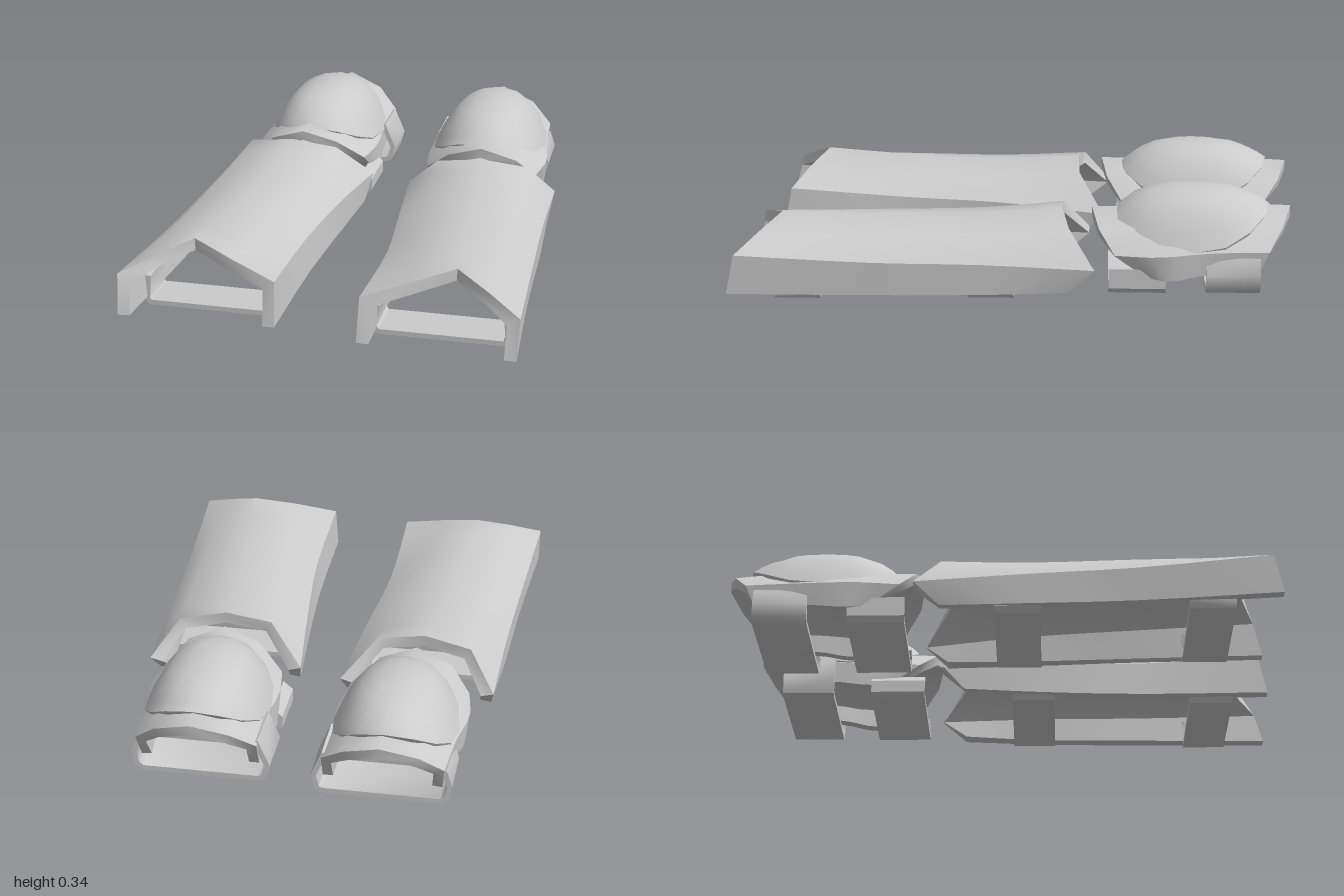
import * as THREE from 'three';
import { toCreasedNormals } from 'three/addons/utils/BufferGeometryUtils.js';

const material = new THREE.MeshStandardMaterial({ color: 0xcccccc });

// Builds a geometry from points and triangle indices, mirrored in x for side = -1.
function solid(points, index, side, crease) {
  const faces = index.slice();
  if (side < 0) for (let i = 0; i < faces.length; i += 3) [faces[i], faces[i + 1]] = [faces[i + 1], faces[i]];
  const g = new THREE.BufferGeometry();
  g.setAttribute('position', new THREE.Float32BufferAttribute(points.flatMap(p => [p.x * side, p.y, p.z]), 3));
  g.setIndex(faces);
  return toCreasedNormals(g, crease);
}

// Offsets an open cross-section to its left in the xy plane, mitred at corners.
function offset(row, t) {
  const normal = (a, b) => new THREE.Vector2(a.y - b.y, b.x - a.x).normalize();
  return row.map((p, j) => {
    const n1 = normal(row[Math.max(j - 1, 0)], row[Math.max(j, 1)]);
    const n2 = normal(row[Math.min(j, row.length - 2)], row[Math.min(j + 1, row.length - 1)]);
    const n = n1.clone().add(n2).normalize();
    const d = t / Math.max(n.dot(n1), 0.6);
    return new THREE.Vector3(p.x + n.x * d, p.y + n.y * d, p.z);
  });
}

// Lofts a plate of thickness t through cross-sections ordered front to back.
function plate(sections, t, segments, side) {
  const m = sections[0].length;
  const curves = sections[0].map((_, j) =>
    new THREE.CatmullRomCurve3(sections.map(s => new THREE.Vector3(...s[j]))));
  const points = [], index = [];
  const quad = (a, b, c, d) => index.push(a, b, c, a, c, d);
  for (let i = 0; i <= segments; i++) {
    const row = curves.map(c => c.getPoint(i / segments));
    points.push(...row, ...offset(row, t).reverse());
  }
  const n = 2 * m;
  for (let i = 0; i < segments; i++)
    for (let j = 0; j < n; j++) {
      const k = (j + 1) % n, a = i * n, b = a + n;
      quad(a + j, b + j, b + k, a + k);
    }
  // end rims
  const e = segments * n;
  for (let j = 0; j < m - 1; j++) {
    quad(j, j + 1, n - 2 - j, n - 1 - j);
    quad(e + j, e + n - 1 - j, e + n - 2 - j, e + j + 1);
  }
  return solid(points, index, side, 0.75);
}

// Domed cap whose rim dips at the sides and lifts at front and back.
function dome(side) {
  const around = 16, rings = [[0.3], [0.55], [0.75], [0.9], [1], [0.93, 0.03]];
  const points = [new THREE.Vector3(0.33, 0.343, -0.61)], index = [];
  const bulge = v => Math.sign(v) * Math.abs(v) ** 0.9;
  for (const [s, drop = 0] of rings)
    for (let j = 0; j < around; j++) {
      const a = j / around * Math.PI * 2, c = Math.cos(a), n = Math.sin(a);
      const rim = 0.15 + (n < 0 ? 0.125 : 0.1) * n * n;
      const y = drop ? rim - drop : rim + (0.343 - rim) * (1 - s ** 3);
      points.push(new THREE.Vector3(0.33 + 0.22 * s * bulge(c), y, -0.61 + 0.28 * s * bulge(n)));
    }
  for (let j = 0; j < around; j++) {
    const k = (j + 1) % around;
    index.push(0, 1 + k, 1 + j);
    for (let r = 0; r < rings.length - 1; r++) {
      const a = 1 + r * around, b = a + around;
      index.push(a + j, a + k, b + k, a + j, b + k, b + j);
    }
  }
  // closed underside
  const last = points.length - around;
  points.push(new THREE.Vector3(0.33, 0.22, -0.61));
  for (let j = 0; j < around; j++) index.push(points.length - 1, last + j, last + (j + 1) % around);
  return solid(points, index, side, 0.8);
}

// Each section runs from the outer lower edge over the top to the inner lower edge.
const shinSections = [
  [[0.69, 0.03, 1], [0.695, 0.17, 0.97], [0.58, 0.22, 0.9], [0.46, 0.265, 0.83],
    [0.31, 0.225, 0.89], [0.15, 0.18, 0.94], [0.145, 0.025, 0.97]],
  [[0.655, 0.02, 0.5], [0.665, 0.14, 0.5], [0.58, 0.215, 0.5], [0.42, 0.25, 0.48],
    [0.27, 0.222, 0.5], [0.15, 0.15, 0.5], [0.14, 0.02, 0.5]],
  [[0.64, 0.02, 0.12], [0.645, 0.13, 0.12], [0.56, 0.217, 0.12], [0.39, 0.247, 0.12],
    [0.23, 0.222, 0.12], [0.115, 0.14, 0.12], [0.115, 0.02, 0.12]],
  [[0.62, 0.025, -0.18], [0.635, 0.11, -0.27], [0.54, 0.235, -0.18], [0.37, 0.262, -0.155],
    [0.2, 0.24, -0.16], [0.075, 0.11, -0.25], [0.09, 0.025, -0.17]],
];
const kneeSections = [
  [[0.545, 0.06, -0.45], [0.55, 0.14, -0.34], [0.48, 0.215, -0.285], [0.35, 0.262, -0.26],
    [0.22, 0.22, -0.28], [0.125, 0.14, -0.34], [0.12, 0.06, -0.45]],
  [[0.56, 0.05, -0.53], [0.57, 0.14, -0.49], [0.48, 0.22, -0.48], [0.34, 0.265, -0.47],
    [0.2, 0.22, -0.48], [0.105, 0.14, -0.49], [0.105, 0.05, -0.53]],
  [[0.535, 0.07, -0.68], [0.545, 0.15, -0.68], [0.47, 0.23, -0.68], [0.33, 0.275, -0.68],
    [0.2, 0.23, -0.68], [0.115, 0.15, -0.68], [0.115, 0.07, -0.68]],
  [[0.52, 0.06, -0.84], [0.53, 0.15, -0.88], [0.45, 0.22, -0.93], [0.32, 0.265, -0.965],
    [0.19, 0.22, -0.93], [0.11, 0.15, -0.87], [0.11, 0.06, -0.83]],
];

// Strap paths run from the inner tab, under the leg, to the outer tab.
const straps = [
  { name: 'shinFrontStrap', z: [0.84, 0.68],
    path: [[0.18, 0.11], [0.165, 0.03], [0.185, 0], [0.63, 0], [0.645, 0.02], [0.64, 0.11]] },
  { name: 'shinBackStrap', z: [0.17, 0.01],
    path: [[0.145, 0.1], [0.13, 0.03], [0.15, 0], [0.605, 0], [0.625, 0.02], [0.61, 0.1]] },
  { name: 'kneeFrontStrap', z: [-0.32, -0.52],
    path: [[0.125, 0.09], [0.09, 0.06], [0.09, 0.015], [0.11, 0], [0.53, 0], [0.55, 0.02], [0.55, 0.09]] },
  { name: 'kneeBackStrap', z: [-0.66, -0.85],
    path: [[0.11, 0.16], [0.07, 0.065], [0.085, 0.01], [0.11, 0], [0.52, 0], [0.545, 0.02], [0.555, 0.07], [0.535, 0.13]] },
];

export function createModel() {
  const model = new THREE.Group();
  model.name = 'legGuards';
  for (const side of [1, -1]) {
    const shin = new THREE.Group(), knee = new THREE.Group();
    const label = side > 0 ? 'left' : 'right';
    shin.name = label + 'ShinGuard';
    knee.name = label + 'KneeGuard';
    const add = (group, name, geometry) => {
      const mesh = new THREE.Mesh(geometry, material);
      mesh.name = name;
      group.add(mesh);
    };
    add(shin, 'shinShell', plate(shinSections, 0.042, 9, side));
    add(knee, 'kneeShell', plate(kneeSections, 0.035, 7, side));
    add(knee, 'kneeCap', dome(side));
    for (const { name, z, path } of straps) {
      const sections = z.map(d => path.map(([x, y]) => [x, y, d]));
      add(name.startsWith('shin') ? shin : knee, name, plate(sections, 0.018, 1, side));
    }
    // the right leg sits slightly further back
    if (side < 0) {
      shin.position.set(-0.005, 0, -0.05);
      knee.position.set(-0.008, 0, -0.035);
    }
    model.add(shin, knee);
  }
  return model;
}
